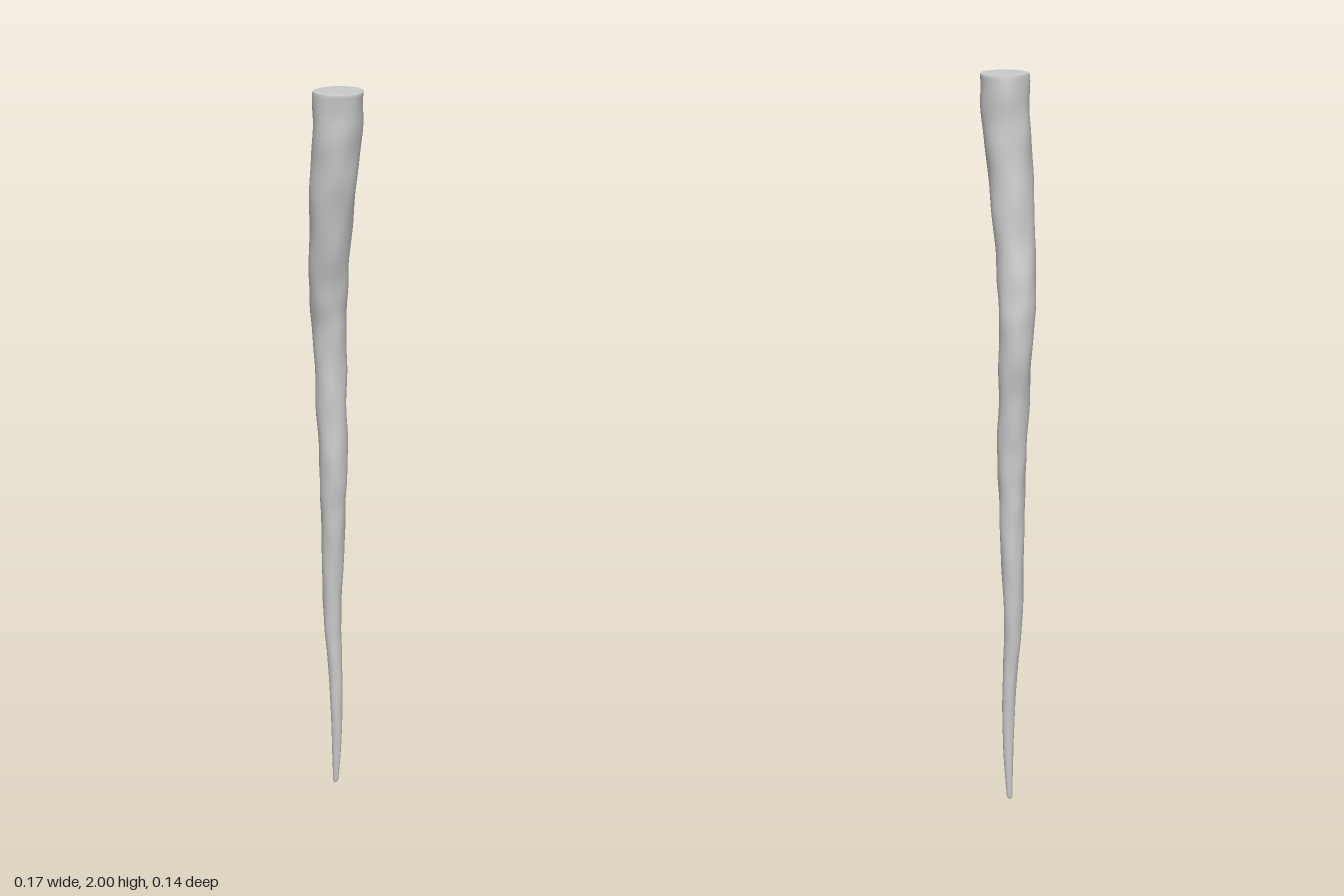
import * as THREE from 'three';

// Centre line and radius from tip to butt: [x, y, z, radius]
const STATIONS = [
  [-0.027, 0.00, -0.030, 0.008], [-0.024, 0.10, -0.031, 0.012],
  [-0.022, 0.20, -0.030, 0.015], [-0.023, 0.30, -0.029, 0.018],
  [-0.026, 0.40, -0.028, 0.020], [-0.033, 0.50, -0.026, 0.023],
  [-0.035, 0.60, -0.025, 0.026], [-0.034, 0.70, -0.025, 0.029],
  [-0.030, 0.80, -0.024, 0.032], [-0.028, 0.90, -0.021, 0.034],
  [-0.025, 1.00, -0.020, 0.037], [-0.028, 1.10, -0.020, 0.038],
  [-0.033, 1.20, -0.020, 0.039], [-0.040, 1.30, -0.024, 0.042],
  [-0.042, 1.40, -0.021, 0.044], [-0.035, 1.50, -0.012, 0.047],
  [-0.020, 1.60, -0.001, 0.049], [-0.006, 1.70, 0.005, 0.053],
  [0.007, 1.80, 0.009, 0.056], [0.017, 1.90, 0.009, 0.058],
  [0.022, 2.00, 0.008, 0.059],
];
const SIDES = 40;
const ROWS = 200;

const path = new THREE.CatmullRomCurve3(STATIONS.map(([x, y, z]) => new THREE.Vector3(x, y, z)));
const radii = new THREE.SplineCurve(STATIONS.map((s) => new THREE.Vector2(s[1], s[3])));

// Shallow knobbly relief, as a fraction of the radius
function bump(a, y) {
  return 0.022 * Math.sin(2 * a + 9 * y + 2 * Math.sin(5 * y))
    + 0.016 * Math.sin(3 * a - 31 * y)
    + 0.014 * Math.sin(a + 47 * y + Math.sin(13 * y))
    + 0.012 * Math.sin(5 * a + 23 * y);
}

// One cross-section at parameter t, scaled about the centre line
function ring(t, scale = 1, lift = 0) {
  const c = path.getPoint(t), r = radii.getPoint(t).y * scale, points = [];
  for (let i = 0; i < SIDES; i++) {
    const a = (i / SIDES) * Math.PI * 2;
    const k = r * (1 + bump(a, c.y));
    points.push(c.x + k * Math.cos(a), c.y + lift, c.z + k * Math.sin(a));
  }
  return points;
}

// Join closed rings, bottom to top, into one smooth skin
function skin(rings) {
  const index = [];
  for (let j = 0; j < rings.length - 1; j++) {
    for (let i = 0; i < SIDES; i++) {
      const n = (i + 1) % SIDES;
      const a = j * SIDES + i, b = j * SIDES + n, c = a + SIDES, d = b + SIDES;
      index.push(a, c, b, b, c, d);
    }
  }
  const geometry = new THREE.BufferGeometry();
  geometry.setAttribute('position', new THREE.Float32BufferAttribute(rings.flat(), 3));
  geometry.setIndex(index);
  geometry.computeVertexNormals();
  return geometry;
}

export function createModel() {
  const group = new THREE.Group();
  group.name = 'taperedBranch';
  const material = new THREE.MeshStandardMaterial({ color: 0xcccccc });
  const add = (name, rings) => {
    const mesh = new THREE.Mesh(skin(rings), material);
    mesh.name = name;
    group.add(mesh);
  };

  // Winding shaft with a rounded tip
  const shaft = [ring(0, 0.001), ring(0, 0.5, 0.001), ring(0, 0.85, 0.004)];
  for (let j = 1; j < ROWS; j++) shaft.push(ring(j / ROWS));
  shaft.push(ring(1, 1, -0.005), ring(1, 0.985, -0.001));
  add('shaft', shaft);

  // Flat cut end with a softened rim
  add('cutEnd', [ring(1, 0.985, -0.001), ring(1, 0.95), ring(1, 0.5), ring(1, 0.001)]);
  return group;
}
